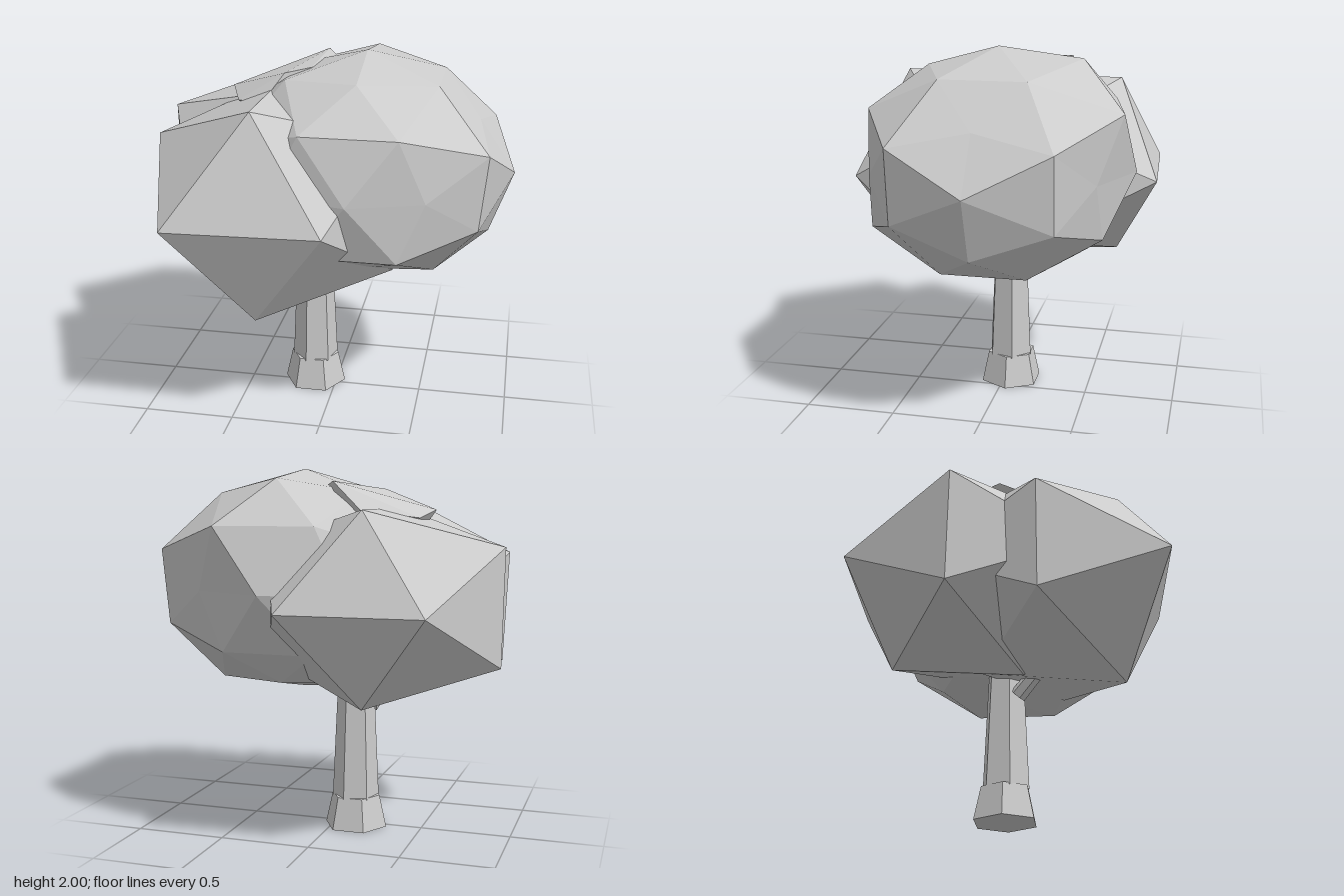
import * as THREE from 'three';
import { ConvexGeometry } from 'three/addons/geometries/ConvexGeometry.js';

const grey = new THREE.MeshStandardMaterial({ color: 0xcccccc, flatShading: true });

function addPart(group, name, geometry) {
  const flat = geometry.index ? geometry.toNonIndexed() : geometry;
  flat.computeVertexNormals();
  const mesh = new THREE.Mesh(flat, grey);
  mesh.name = name;
  group.add(mesh);
  return mesh;
}

// Faceted leaf mass; each tweak moves one unit-sphere corner to a new place
function leafMass(detail, [cx, cy, cz], [rx, ry, rz], tweaks) {
  const geometry = new THREE.IcosahedronGeometry(1, detail).rotateY(Math.PI / 2);
  const pos = geometry.attributes.position;
  const v = new THREE.Vector3();
  for (let i = 0; i < pos.count; i++) {
    v.fromBufferAttribute(pos, i);
    const tweak = tweaks.find(([from]) => v.distanceTo(new THREE.Vector3(...from)) < 0.1);
    if (tweak) pos.setXYZ(i, ...tweak[1]);
    else pos.setXYZ(i, cx + v.x * rx, cy + v.y * ry, cz + v.z * rz);
  }
  return geometry;
}

export function createModel() {
  const tree = new THREE.Group();
  tree.name = 'tree';

  // Hexagonal trunk with a flared foot
  addPart(tree, 'trunkFoot', new THREE.CylinderGeometry(0.138, 0.178, 0.18, 6, 1, false, Math.PI / 2)
    .translate(-0.127, 0.09, -0.037));
  addPart(tree, 'trunk', new THREE.CylinderGeometry(0.092, 0.13, 0.85, 6, 1, false, Math.PI / 4)
    .translate(-0.125, 0.595, -0.035));

  // Thin branch rising forward into the leaves
  const from = new THREE.Vector3(-0.19, 0.68, 0.035);
  const along = new THREE.Vector3(-0.14, 0.26, 0.26);
  const branch = addPart(tree, 'branch', new THREE.CylinderGeometry(0.035, 0.045, along.length(), 6));
  branch.position.copy(from).addScaledVector(along, 0.5);
  branch.quaternion.setFromUnitVectors(new THREE.Vector3(0, 1, 0), along.clone().normalize());

  // Large rounded mass, with uneven corners
  const tweaks = [
    [[0, 1, 0], [0.17, 2.0, -0.03]],
    [[0, -1, 0], [0.17, 0.785, -0.03]],
    [[0, 0.851, -0.526], [0.17, 1.945, -0.48]],
    [[0, -0.851, 0.526], [0.17, 0.88, 0.29]],
    [[0, -0.851, -0.526], [0.17, 0.87, -0.43]],
    [[0.851, 0.526, 0], [0.78, 1.65, -0.03]],
    [[0.851, -0.526, 0], [0.85, 1.025, -0.03]],
    [[1, 0, 0], [0.975, 1.365, -0.03]],
  ];
  for (const s of [-1, 1]) {
    for (const u of [-1, 1]) {
      tweaks.push([[s * 0.309, u * 0.5, 0.809], [0.17 + s * 0.25, 1.37 + u * 0.32, 0.61]]);
      tweaks.push([[0.809, u * 0.309, s * 0.5], [0.83 + u * 0.02, 1.37 + u * 0.2, -0.03 + s * 0.415]]);
    }
    tweaks.push([[s * 0.309, 0.5, -0.809], [0.17 + s * 0.255, 1.705, s > 0 ? -0.725 : -0.63]]);
    tweaks.push([[0.526, 0, s * 0.851], [0.555, 1.365, -0.02 + s * 0.59]]);
  }
  addPart(tree, 'largeLeaves', leafMass(1, [0.17, 1.365, -0.035], [0.805, 0.625, 0.735], tweaks));

  // Two angular masses at the front and back of the right side
  addPart(tree, 'frontLeaves', leafMass(0, [-0.315, 1.242, 0.23], [0.75, 0.662, 0.73], [
    [[-0.526, 0, 0.851], [-0.73, 1.24, 0.862]],
    [[0.526, 0, 0.851], [0.08, 1.24, 0.825]],
    [[-0.851, 0.526, 0], [-0.933, 1.55, 0.19]],
    [[-0.851, -0.526, 0], [-0.905, 0.95, 0.19]],
    [[0.851, -0.526, 0], [0.36, 0.87, 0.26]],
    [[0, -0.851, -0.526], [-0.315, 0.76, -0.15]],
  ]));
  addPart(tree, 'backLeaves', leafMass(0, [-0.33, 1.29, -0.24], [0.76, 0.585, 0.73], [
    [[-0.526, 0, -0.851], [-0.7, 1.285, -0.83]],
    [[0.526, 0, -0.851], [0.05, 1.285, -0.868]],
    [[-0.851, -0.526, 0], [-0.967, 0.975, -0.25]],
    [[0, -0.851, 0.526], [-0.33, 0.735, 0.08]],
  ]));

  // Small coarse tuft on top between the others
  const tuft = [
    [-0.57, 1.78, -0.03], [-0.52, 1.74, -0.2], [-0.26, 1.78, -0.41], [-0.1, 1.93, -0.38],
    [-0.02, 1.9, -0.25], [-0.12, 1.91, 0.05], [-0.25, 1.89, 0.12], [-0.5, 1.74, 0.14],
    [-0.36, 1.74, 0.2], [-0.45, 1.6, -0.05], [-0.1, 1.6, -0.25], [-0.25, 1.6, 0.1],
  ];
  addPart(tree, 'topTuft', new ConvexGeometry(tuft.map((p) => new THREE.Vector3(...p))));

  return tree;
}
